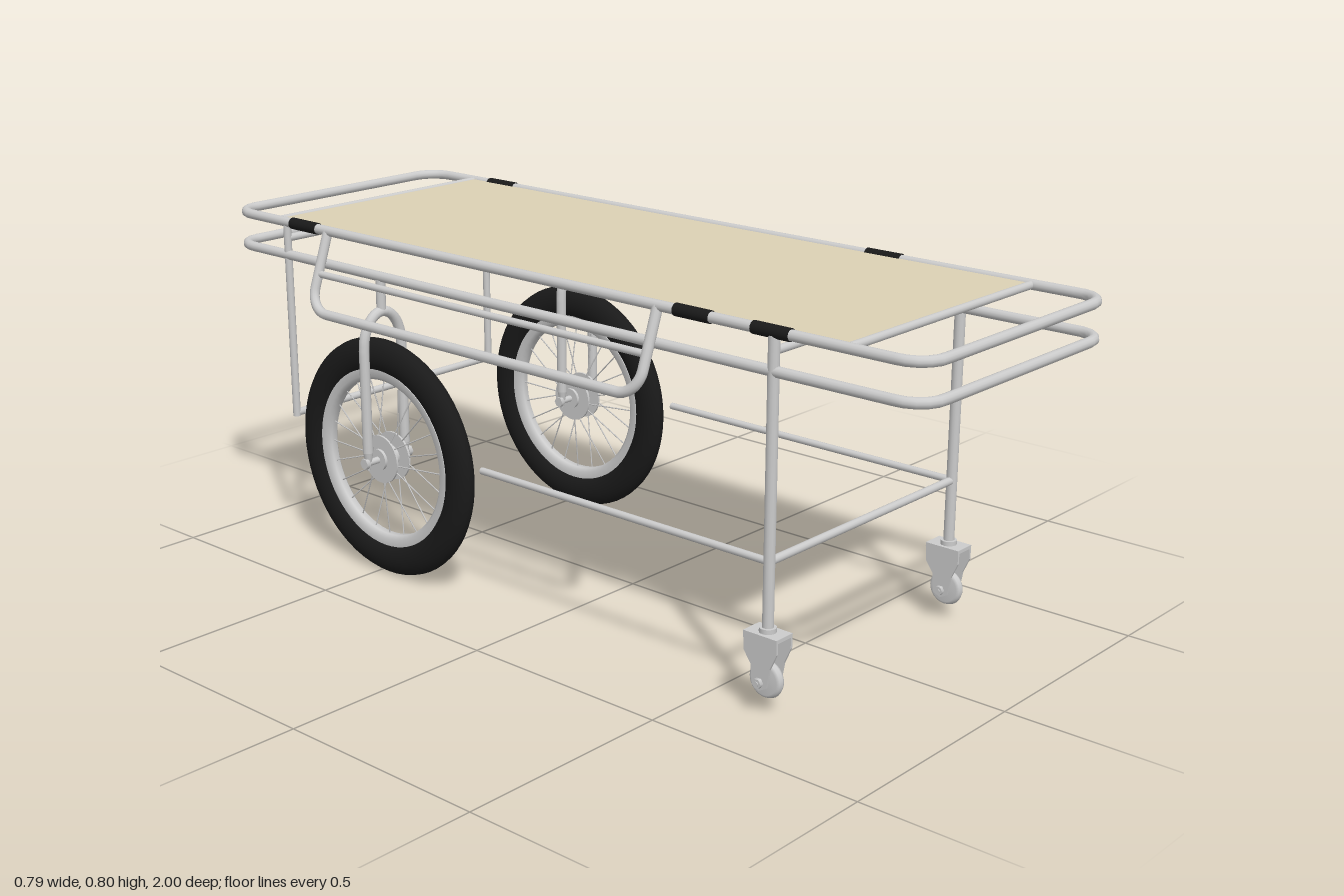
import * as THREE from 'three';

const V = (x, y, z) => new THREE.Vector3(x, y, z);
const grey = new THREE.MeshStandardMaterial({ color: 0xcccccc, side: THREE.DoubleSide });
const black = new THREE.MeshStandardMaterial({ color: 0x1a1a1a });
const beige = new THREE.MeshStandardMaterial({ color: 0xdcd1b4 });

function add(parent, name, geo, mat = grey) {
  const m = new THREE.Mesh(geo, mat);
  m.name = name;
  parent.add(m);
  return m;
}

// straight round bar between two points
function bar(parent, name, a, b, r, mat = grey, seg = 14, r2 = r) {
  const m = add(parent, name, new THREE.CylinderGeometry(r2, r, a.distanceTo(b), seg), mat);
  m.position.copy(a).lerp(b, 0.5);
  m.quaternion.setFromUnitVectors(V(0, 1, 0), b.clone().sub(a).normalize());
  return m;
}

// polyline with rounded corners
function bentPath(pts, bend, closed = false) {
  const path = new THREE.CurvePath();
  const n = pts.length;
  const toward = (a, b) => a.clone().add(b.clone().sub(a).setLength(bend));
  let last = closed ? toward(pts[0], pts[1]) : pts[0];
  const corners = closed ? [...pts.slice(1), pts[0]] : pts.slice(1, -1);
  corners.forEach((c, i) => {
    const next = pts[(i + 2) % n];
    const p = toward(c, last), q = toward(c, next);
    path.add(new THREE.LineCurve3(last, p));
    const k = 0.55;
    path.add(new THREE.CubicBezierCurve3(p, p.clone().lerp(c, k), q.clone().lerp(c, k), q));
    last = q;
  });
  if (!closed) path.add(new THREE.LineCurve3(last, pts[n - 1]));
  return path;
}

// spoked wheel, axle along x
function bigWheel() {
  const g = new THREE.Group();
  g.name = 'wheel';
  const tyre = [];
  for (let i = 0; i <= 20; i++) {
    const a = (i / 20) * Math.PI * 2;
    tyre.push(new THREE.Vector2(0.244 - 0.039 * Math.cos(a), -0.025 * Math.sin(a)));
  }
  add(g, 'tyre', new THREE.LatheGeometry(tyre.reverse(), 64), black).rotation.z = Math.PI / 2;
  if (tyre.length) black.side = THREE.DoubleSide;
  const rim = [[0.212, -0.016], [0.195, -0.016], [0.186, -0.008], [0.186, 0.008],
    [0.195, 0.016], [0.212, 0.016]].map(p => new THREE.Vector2(...p));
  add(g, 'rim', new THREE.LatheGeometry(rim, 64)).rotation.z = Math.PI / 2;
  // hub barrel, flanges and spokes
  bar(g, 'hub', V(-0.028, 0, 0), V(0.028, 0, 0), 0.025, grey, 24);
  for (const s of [-1, 1]) {
    bar(g, 'hubFlange', V(s * 0.016, 0, 0), V(s * 0.021, 0, 0), 0.057, grey, 32);
    for (let i = 0; i < 12; i++) {
      const a = ((i + (s > 0 ? 0.5 : 0)) / 12) * Math.PI * 2;
      const b = a + (i % 2 ? 0.12 : -0.12);
      bar(g, 'spoke', V(s * 0.018, 0.05 * Math.sin(b), 0.05 * Math.cos(b)),
        V(0, 0.188 * Math.sin(a), 0.188 * Math.cos(a)), 0.0016, grey, 5);
    }
  }
  bar(g, 'axle', V(-0.066, 0, 0), V(0.066, 0, 0), 0.008);
  for (const s of [-1, 1]) bar(g, 'axleNut', V(s * 0.06, 0, 0), V(s * 0.07, 0, 0), 0.013, grey, 6);
  return g;
}

// inverted-U fork around a wheel, origin on the axle
function wheelFork() {
  const g = new THREE.Group();
  g.name = 'wheelFork';
  const pts = [];
  for (let i = 0; i <= 12; i++) {
    const a = Math.PI * (1 - i / 12);
    pts.push(V(0.056 * Math.cos(a), 0.265 + 0.083 * Math.sin(a), 0));
  }
  const path = new THREE.CurvePath();
  path.add(new THREE.LineCurve3(V(-0.056, 0.025, 0), pts[0]));
  path.add(new THREE.CatmullRomCurve3(pts));
  path.add(new THREE.LineCurve3(pts[12], V(0.056, 0.025, 0)));
  add(g, 'forkTube', new THREE.TubeGeometry(path, 64, 0.012, 12));
  for (const s of [-1, 1])
    bar(g, 'forkTip', V(s * 0.056, 0.027, 0), V(s * 0.056, -0.018, 0), 0.012, grey, 12, 0.004);
  bar(g, 'forkStem', V(0, 0.345, 0), V(0, 0.42, 0), 0.011);
  return g;
}

// small castor, origin on its axle
function castor() {
  const g = new THREE.Group();
  g.name = 'castor';
  const cheek = new THREE.Shape([[-0.042, 0.098], [-0.04, 0.06], [-0.022, 0.035], [-0.018, -0.008],
    [0, -0.018], [0.018, -0.008], [0.026, 0.035], [0.042, 0.07], [0.042, 0.098]]
    .map(p => new THREE.Vector2(...p)));
  const geo = new THREE.ExtrudeGeometry(cheek, { depth: 0.005, bevelEnabled: false });
  geo.translate(0, 0, -0.0025).rotateY(-Math.PI / 2);
  for (const s of [-1, 1]) {
    add(g, 'castorCheek', geo).position.x = s * 0.023;
    bar(g, 'castorNut', V(s * 0.025, 0, 0), V(s * 0.034, 0, 0), 0.011, grey, 6);
  }
  add(g, 'castorPlate', new THREE.BoxGeometry(0.052, 0.008, 0.084)).position.y = 0.098;
  bar(g, 'swivel', V(0, 0.1, 0), V(0, 0.112, 0), 0.018, grey, 20);
  const tread = [[0, -0.011], [0.032, -0.011], [0.038, -0.007], [0.041, 0], [0.038, 0.007],
    [0.032, 0.011], [0, 0.011]].map(p => new THREE.Vector2(...p));
  add(g, 'castorWheel', new THREE.LatheGeometry(tread, 32)).rotation.z = Math.PI / 2;
  bar(g, 'castorAxle', V(-0.036, 0, 0), V(0.036, 0, 0), 0.005);
  return g;
}

export function createModel() {
  const g = new THREE.Group();
  const X = 0.32, Z = 0.988, TOP = 0.79, LOW = 0.712;

  // two stacked rounded frames
  for (const [name, y] of [['upperFrame', TOP], ['lowerFrame', LOW]]) {
    const path = bentPath([V(-X, y, -Z), V(X, y, -Z), V(X, y, Z), V(-X, y, Z)], 0.06, true);
    add(g, name, new THREE.TubeGeometry(path, 240, 0.0115, 12, true));
  }

  // stretched bed sheet with end bars
  const sheet = add(g, 'bedSheet', new THREE.BoxGeometry(0.622, 0.006, 1.63), beige);
  sheet.position.set(0, 0.792, -0.007);
  for (const z of [0.814, -0.83]) bar(g, 'bedEndBar', V(-X, TOP, z), V(X, TOP, z), 0.009);

  // crossbars between the leg pairs
  for (const z of [0.645, -0.797]) {
    bar(g, 'upperCrossbar', V(-X, 0.752, z), V(X, 0.752, z), 0.009);
    bar(g, 'lowerCrossbar', V(-X, 0.324, z), V(X, 0.324, z), 0.009);
  }

  for (const s of [-1, 1]) {
    const x = s * X;
    // legs and side bar
    bar(g, 'frontLeg', V(x, 0.175, 0.645), V(x, TOP, 0.645), 0.012);
    bar(g, 'rearLeg', V(x, 0.316, -0.797), V(x, TOP, -0.797), 0.009);
    bar(g, 'sideBar', V(x, 0.324, 0.645), V(x, 0.324, -0.16), 0.008);

    // sloping side rail with a middle bar
    const hx = s * 0.382, hy = 0.614;
    const rail = bentPath([V(x, TOP, 0.353), V(hx, hy, 0.353), V(hx, hy, -0.65), V(x, TOP, -0.65)], 0.055);
    add(g, 'sideRail', new THREE.TubeGeometry(rail, 160, 0.0115, 12));
    bar(g, 'sideRailMiddleBar', V(s * 0.353, 0.696, 0.353), V(s * 0.353, 0.696, -0.65), 0.008);

    // black sleeves on the upper frame
    for (const z of s < 0 ? [0.64, 0.445, -0.73] : [0.445, -0.73])
      bar(g, 'sleeve', V(x, TOP, z - 0.045), V(x, TOP, z + 0.045), 0.0135, black, 16);

    // rear wheel in its fork, front castor
    const wheel = bigWheel(), fork = wheelFork(), small = castor();
    wheel.position.set(x, 0.284, -0.475);
    fork.position.copy(wheel.position);
    small.position.set(x, 0.074, 0.645);
    g.add(wheel, fork, small);
  }
  return g;
}
